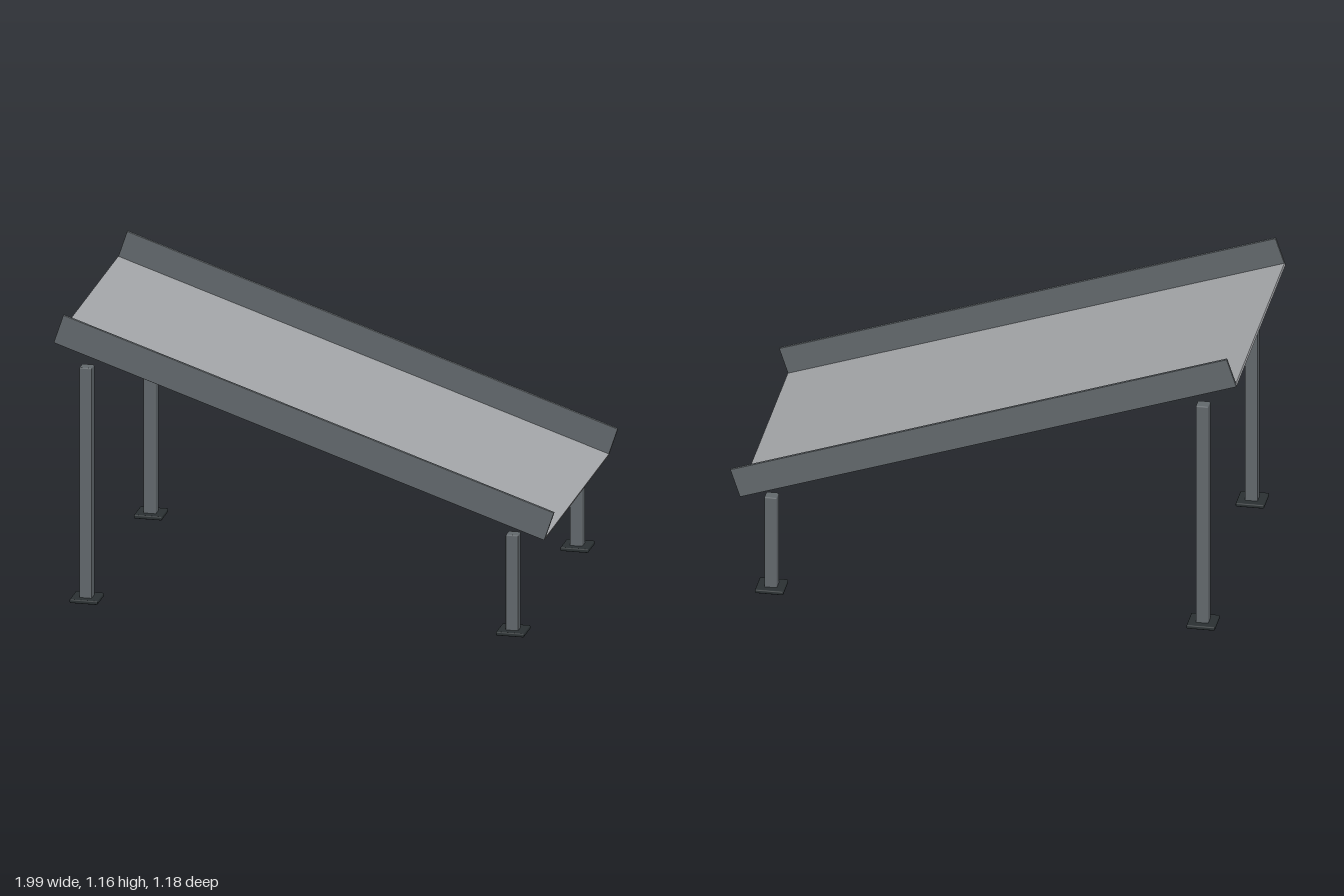
import * as THREE from 'three';
import { RoundedBoxGeometry } from 'three/addons/geometries/RoundedBoxGeometry.js';

export function createModel() {
  const model = new THREE.Group();
  model.name = 'slopedTray';

  const material = (name, color) => {
    const m = new THREE.MeshStandardMaterial({ color });
    m.name = name;
    return m;
  };
  const deckGrey = material('deck grey', 0xa3a5a8);
  const steelGrey = material('steel grey', 0x62686c);
  const footDark = material('foot dark', 0x2a3032);

  const add = (parent, name, geometry, mat, x, y, z) => {
    const mesh = new THREE.Mesh(geometry, mat);
    mesh.name = name;
    mesh.position.set(x, y, z);
    parent.add(mesh);
  };

  // Tilted tray: origin at the middle of its underside, high end at -x
  const length = 2.062, wallHeight = 0.122, tilt = Math.atan2(0.655, 1.955);
  const tray = new THREE.Group();
  tray.name = 'tray';
  tray.position.set(-0.0225, 0.7125, 0);
  tray.rotation.z = -tilt;
  model.add(tray);

  add(tray, 'deck', new THREE.BoxGeometry(length, 0.011, 1.044), deckGrey, 0, 0.0065, 0);

  for (const side of [1, -1]) {
    const s = side > 0 ? 'front' : 'back';
    add(tray, s + 'SideWall', new RoundedBoxGeometry(length, wallHeight, 0.013, 1, 0.002),
      steelGrey, 0, wallHeight / 2, side * 0.528);

    // Tall legs at the high end, short legs at the low end
    for (const [end, x, top] of [['High', -0.868, 0.955], ['Low', 0.831, 0.405]]) {
      add(model, s + end + 'Leg', new RoundedBoxGeometry(0.05, top - 0.008, 0.05, 2, 0.005),
        steelGrey, x, (top + 0.008) / 2, side * 0.532);
      add(model, s + end + 'Foot', new RoundedBoxGeometry(0.112, 0.016, 0.112, 2, 0.005),
        footDark, x, 0.008, side * 0.532);
    }
  }
  return model;
}
